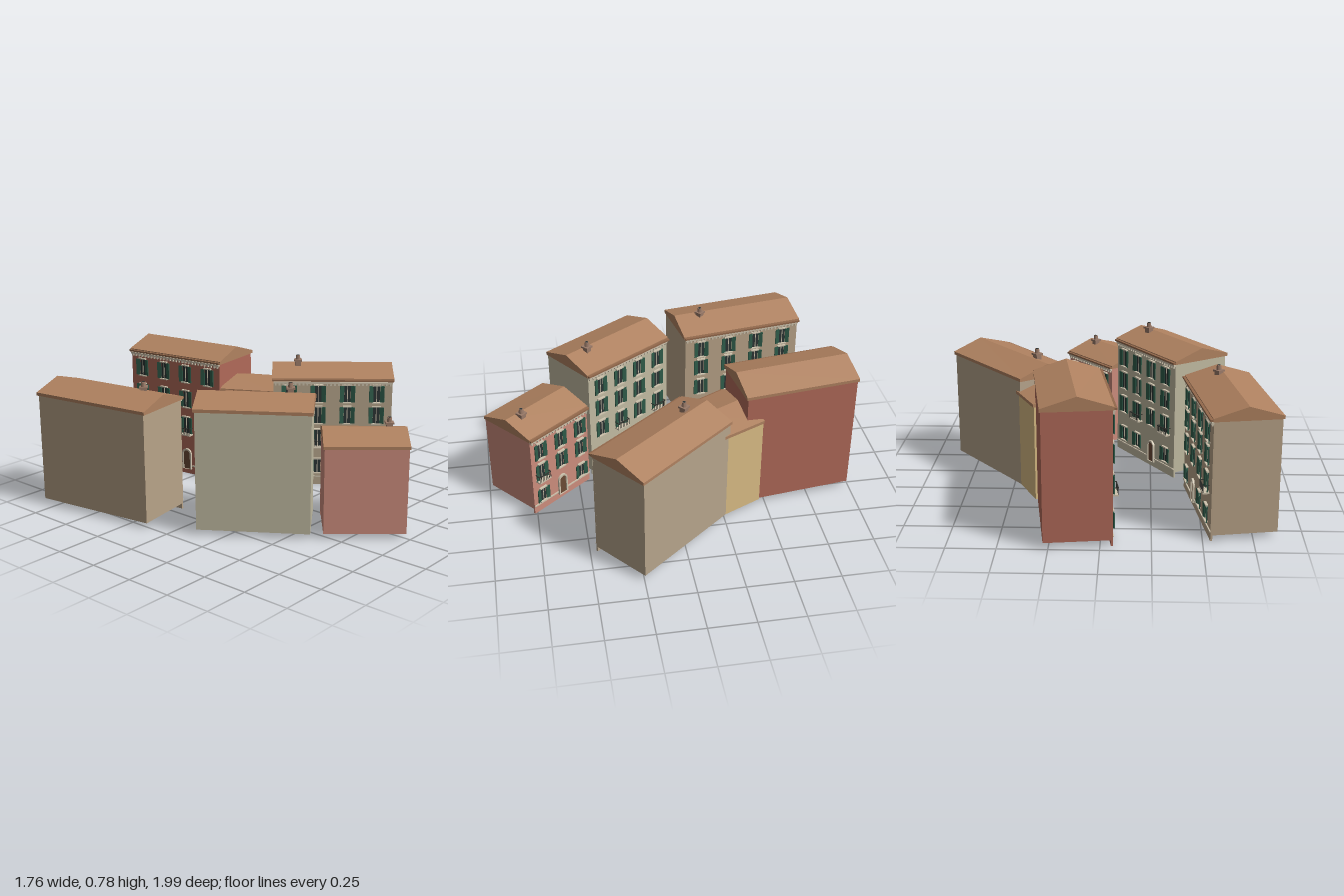
import * as THREE from 'three';

const mat = (color) => new THREE.MeshStandardMaterial({ color, flatShading: true });
const M = {
  roof: mat(0xb08260), tile: mat(0x94694c), shutter: mat(0x2f5c4a), glass: mat(0x2b3434),
  trim: mat(0xcfc4ae), iron: mat(0x33332f), door: mat(0x6b4a35), chimney: mat(0x9a7a68),
};
const unitBox = new THREE.BoxGeometry(1, 1, 1);

// Box centred at x, y, z
function box(parent, name, m, w, h, d, x, y, z) {
  const b = new THREE.Mesh(unitBox, m);
  b.name = name;
  b.scale.set(w, h, d);
  b.position.set(x, y, z);
  parent.add(b);
  return b;
}

// Closed solid between two convex rings with the same number of points
function loft(a, b) {
  const pos = [];
  const tri = (...pts) => pts.forEach((p) => pos.push(p[0], p[1], p[2]));
  const n = a.length;
  for (let i = 0; i < n; i++) {
    const j = (i + 1) % n;
    tri(a[i], a[j], b[j]);
    tri(a[i], b[j], b[i]);
    if (i > 0 && i < n - 1) {
      tri(a[0], a[i + 1], a[i]);
      tri(b[0], b[i], b[i + 1]);
    }
  }
  const g = new THREE.BufferGeometry();
  g.setAttribute('position', new THREE.Float32BufferAttribute(pos, 3));
  g.computeVertexNormals();
  return g;
}

// Arched outline standing on y = 0
function archShape(w, h) {
  const s = new THREE.Shape();
  s.moveTo(-w / 2, 0);
  s.lineTo(w / 2, 0);
  s.lineTo(w / 2, h - w / 2);
  s.absarc(0, h - w / 2, w / 2, 0, Math.PI, false);
  s.closePath();
  return s;
}
const doorGeo = new THREE.ExtrudeGeometry(archShape(0.046, 0.115), { depth: 0.005, bevelEnabled: false, curveSegments: 8 });
const surround = archShape(0.064, 0.125);
surround.holes.push(archShape(0.046, 0.115));
const surroundGeo = new THREE.ExtrudeGeometry(surround, { depth: 0.012, bevelEnabled: false, curveSegments: 8 });

function addDoor(parent, x) {
  const g = new THREE.Group();
  g.name = 'archedDoor';
  g.position.set(x, 0.03, 0);
  const leaf = new THREE.Mesh(doorGeo, M.door);
  leaf.name = 'doorLeaf';
  const ring = new THREE.Mesh(surroundGeo, M.trim);
  ring.name = 'doorSurround';
  g.add(leaf, ring);
  parent.add(g);
}

function addWindow(parent, x, y, h, balcony) {
  const g = new THREE.Group();
  g.name = 'window';
  g.position.set(x, y, 0);
  parent.add(g);
  box(g, 'glass', M.glass, 0.036, h, 0.004, 0, 0, 0.002);
  box(g, 'mullion', M.trim, 0.004, h, 0.006, 0, 0, 0.003);
  box(g, 'lintel', M.trim, 0.05, 0.007, 0.014, 0, h / 2 + 0.004, 0.007);
  box(g, 'sill', M.trim, 0.054, 0.006, 0.016, 0, -h / 2 - 0.003, 0.008);
  for (const s of [-1, 1]) {
    const leaf = box(g, 'shutter', M.shutter, 0.024, h, 0.005, s * 0.031, 0, 0.009);
    leaf.rotation.y = -s * 0.25;
  }
  if (!balcony) return;
  // Shallow balcony with an iron rail
  const b = -h / 2 - 0.006;
  box(g, 'balconyFloor', M.trim, 0.084, 0.008, 0.034, 0, b, 0.017);
  box(g, 'handrail', M.iron, 0.084, 0.004, 0.004, 0, b + 0.04, 0.032);
  for (const s of [-1, 1]) box(g, 'sideRail', M.iron, 0.004, 0.004, 0.032, s * 0.04, b + 0.04, 0.016);
  for (let i = 0; i < 8; i++) box(g, 'railBar', M.iron, 0.0025, 0.038, 0.0025, -0.04 + i * 0.0114, b + 0.021, 0.032);
}

function addChimney(parent, x, z, top) {
  const g = new THREE.Group();
  g.name = 'chimney';
  g.position.set(x, top, z);
  g.rotation.y = 0.75;
  box(g, 'chimneyStack', M.chimney, 0.032, 0.1, 0.032, 0, -0.08, 0);
  box(g, 'chimneyCap', M.chimney, 0.044, 0.01, 0.044, 0, -0.03, 0);
  const pot = new THREE.Mesh(new THREE.CylinderGeometry(0.011, 0.014, 0.026, 10), M.chimney);
  pot.name = 'chimneyPot';
  pot.position.y = -0.013;
  g.add(pot);
  const hole = new THREE.Mesh(new THREE.CylinderGeometry(0.008, 0.008, 0.002, 10), M.glass);
  hole.name = 'flue';
  g.add(hole);
  parent.add(g);
}

// p: roof corners [x, z]; the first two bound the street front
function addHouse(root, { name, color, p, eave, ridge, rows, cols, spacing, door, balconies = [], chimney }) {
  const house = new THREE.Group();
  house.name = name;
  root.add(house);
  const paint = mat(color);
  const cx = p.reduce((s, q) => s + q[0], 0) / 4;
  const cz = p.reduce((s, q) => s + q[1], 0) / 4;
  const inner = p.map(([x, z]) => [cx + (x - cx) * 0.965, cz + (z - cz) * 0.975]);

  // Walls
  const ring = (y) => inner.map(([x, z]) => [x, y, z]);
  const walls = new THREE.Mesh(loft(ring(0.03), ring(eave)), paint);
  walls.name = 'walls';
  house.add(walls);

  // Gabled roof with a thin eave edge
  const section = (f, b) => [
    [f[0], eave - 0.005, f[1]], [b[0], eave - 0.005, b[1]], [b[0], eave + 0.012, b[1]],
    [(f[0] + b[0]) / 2, ridge, (f[1] + b[1]) / 2], [f[0], eave + 0.012, f[1]],
  ];
  const roof = new THREE.Mesh(loft(section(p[0], p[3]), section(p[1], p[2])), M.roof);
  roof.name = 'roof';
  house.add(roof);

  // Street front: x runs along the wall, z points out
  const [a, b] = inner;
  const dx = b[0] - a[0], dz = b[1] - a[1], L = Math.hypot(dx, dz);
  const front = new THREE.Group();
  front.name = 'streetFront';
  front.position.set((a[0] + b[0]) / 2, 0, (a[1] + b[1]) / 2);
  front.rotation.y = Math.atan2(-dz, dx);
  house.add(front);
  box(front, 'frontWall', paint, L, eave - 0.005, 0.01, 0, (eave - 0.005) / 2, -0.004);
  box(front, 'cornice', M.trim, L, 0.01, 0.014, 0, eave - 0.012, 0.005);
  box(front, 'gutter', M.tile, L * 1.02, 0.01, 0.016, 0, eave + 0.002, 0.012);
  const dentils = Math.round(L / 0.022);
  for (let i = 0; i < dentils; i++) {
    box(front, 'dentil', M.trim, 0.01, 0.012, 0.01, ((i + 0.5) / dentils - 0.5) * L, eave - 0.023, 0.005);
  }
  const colX = (c) => (c - (cols - 1) / 2) * spacing;
  // Plinth moulding, broken at the door
  const gaps = door === undefined ? [[-L / 2, L / 2]] : [[-L / 2, colX(door) - 0.034], [colX(door) + 0.034, L / 2]];
  for (const [s, e] of gaps) box(front, 'plinthMoulding', M.trim, e - s, 0.007, 0.008, (s + e) / 2, 0.05, 0.003);

  rows.forEach((y, r) => {
    for (let c = 0; c < cols; c++) {
      if (r === 0 && c === door) addDoor(front, colX(c));
      else addWindow(front, colX(c), y, r === 0 ? 0.08 : 0.095, r === 1 && balconies.includes(c));
    }
  });
  if (chimney) addChimney(house, ...chimney);
}

export function createModel() {
  const root = new THREE.Group();
  root.name = 'townStreet';
  const houses = [
    { name: 'backLeftHouse', color: 0xb8a388, p: [[-0.425, -0.18], [-0.535, -0.89], [-0.88, -0.83], [-0.77, -0.12]],
      eave: 0.625, ridge: 0.69, rows: [0.115, 0.285, 0.42, 0.54], cols: 4, spacing: 0.17, door: 1, balconies: [3], chimney: [-0.595, -0.3, 0.73] },
    { name: 'middleLeftHouse', color: 0xc2bba2, p: [[-0.045, 0.42], [-0.38, -0.075], [-0.67, 0.12], [-0.33, 0.62]],
      eave: 0.665, ridge: 0.73, rows: [0.115, 0.295, 0.44, 0.575], cols: 4, spacing: 0.14, door: 2, balconies: [1, 3], chimney: [-0.235, 0.4, 0.775] },
    { name: 'frontHouse', color: 0xcc8c7c, p: [[0.255, 0.765], [-0.02, 0.43], [-0.29, 0.655], [-0.01, 0.99]],
      eave: 0.488, ridge: 0.552, rows: [0.105, 0.262, 0.395], cols: 3, spacing: 0.145, door: 1, balconies: [0], chimney: [0.09, 0.79, 0.593] },
    { name: 'backRightHouse', color: 0xb06a59, p: [[-0.07, -0.955], [0.025, -0.32], [0.365, -0.37], [0.28, -1.0]],
      eave: 0.702, ridge: 0.77, rows: [0.115, 0.3, 0.46, 0.61], cols: 4, spacing: 0.155, door: 2, balconies: [0, 1, 2] },
    { name: 'linkHouse', color: 0xd8bb84, p: [[0.025, -0.32], [0.17, -0.05], [0.48, -0.22], [0.36, -0.47]],
      eave: 0.547, ridge: 0.605, rows: [0.115, 0.285, 0.43], cols: 2, spacing: 0.14, door: 0 },
    { name: 'frontRightHouse', color: 0xb6a48b, p: [[0.17, -0.06], [0.605, 0.475], [0.88, 0.25], [0.445, -0.275]],
      eave: 0.622, ridge: 0.688, rows: [0.115, 0.285, 0.42, 0.545], cols: 4, spacing: 0.165, door: 2, balconies: [1, 2, 3], chimney: [0.375, -0.035, 0.735] },
  ];
  houses.forEach((h) => addHouse(root, h));
  return root;
}
